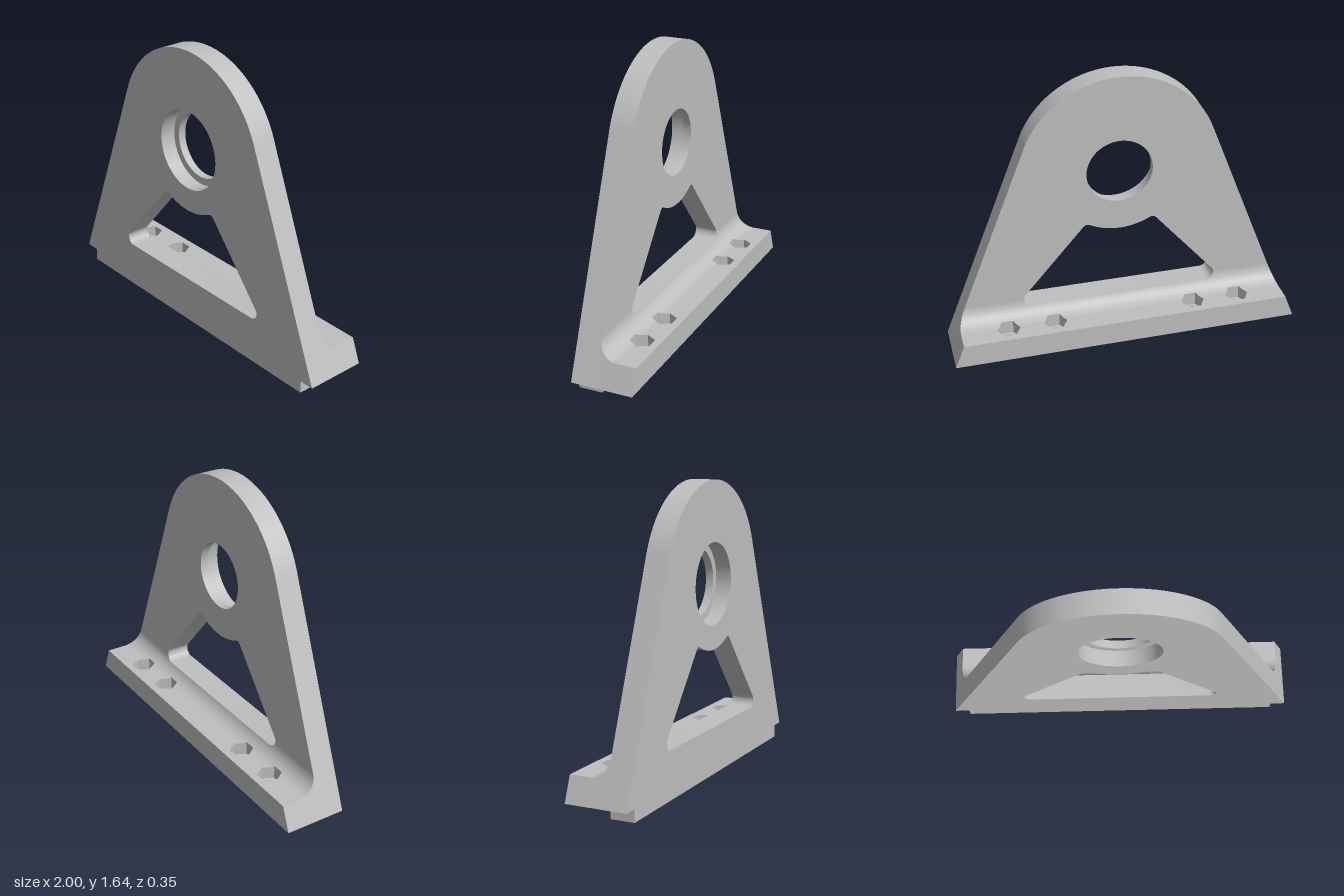
import * as THREE from 'three';
import { mergeGeometries, toCreasedNormals } from 'three/addons/utils/BufferGeometryUtils.js';

const rad = THREE.MathUtils.degToRad;
const BACK = -0.175, MID = 0.04, FRONT = 0.175;   // z of the flange back, plate back, plate front
const LOW = 0.072, TOP = 0.21;                    // flange underside and top
const BORE_Y = 1.075;
const FILLET = { y: 0.31, z: -0.06, r: 0.1 };
const CORNER = { x: 0.525, y: 0.312, r: 0.042 };  // lower rounded corner of the window
const WINDOW_Y = CORNER.y - CORNER.r;
const BOLT_X = [-0.677, -0.408, 0.408, 0.677], BOLT_Z = -0.075;
const HEX_R = 0.067, HEX_A = HEX_R * Math.sqrt(3) / 2, HEX_FLOOR = 0.14, BOLT_R = 0.04;

const outerX = y => 1 - 0.39 * (y - LOW);         // sloping side of the bracket
const innerX = y => CORNER.x + Math.sqrt(Math.max(0, CORNER.r ** 2 - (y - CORNER.y) ** 2));
const hexHalf = z => HEX_R - Math.abs(z - BOLT_Z) / Math.sqrt(3);
const topY = z => z <= FILLET.z ? TOP
  : FILLET.y - Math.sqrt(Math.max(0, FILLET.r ** 2 - (z - FILLET.z) ** 2));

function circlePath(x, y, r) {
  const p = new THREE.Path();
  p.absarc(x, y, r, 0, Math.PI * 2, true);
  return p;
}

// Triangular window with rounded corners and a concave top around the bore
function windowPath() {
  const p = new THREE.Path();
  const arc = (x, y, r, a, b, cw = false) => p.absarc(x, y, r, rad(a), rad(b), cw);
  arc(CORNER.x, CORNER.y, CORNER.r, -90, 40.4);
  arc(0.1873, 0.7271, 0.03, 40.4, 118.3);
  arc(0, BORE_Y, 0.365, -61.7, -118.3, true);
  arc(-0.1873, 0.7271, 0.03, 61.7, 139.6);
  arc(-CORNER.x, CORNER.y, CORNER.r, 139.6, 270);
  p.closePath();
  return p;
}

// One layer of the upright plate, with a bore of the given radius
function plateLayer(bore, z0, z1) {
  const s = new THREE.Shape();
  s.moveTo(-0.917, 0);
  s.lineTo(0.917, 0);
  s.lineTo(0.917, LOW);
  s.lineTo(1, LOW);
  s.absarc(0, BORE_Y, 0.565, rad(21.3), rad(158.7), false);
  s.lineTo(-1, LOW);
  s.lineTo(-0.917, LOW);
  s.closePath();
  s.holes.push(circlePath(0, BORE_Y, bore), windowPath());
  const g = new THREE.ExtrudeGeometry(s, { depth: z1 - z0, bevelEnabled: false, curveSegments: 40 });
  g.translate(0, 0, z0);
  return toCreasedNormals(g, 0.5);
}

// Flange skin: strips along z, split around the hex pockets and the window
function flangeSkin() {
  const v = [];
  const quad = (a, b, c, d) => v.push(...a, ...b, ...c, ...a, ...c, ...d);
  const zs = [BACK, BOLT_Z - HEX_A, BOLT_Z, BOLT_Z + HEX_A,
    FILLET.z + Math.sqrt(FILLET.r ** 2 - (FILLET.y - WINDOW_Y) ** 2)];
  for (let i = 0; i <= 14; i++) zs.push(FILLET.z + FILLET.r * Math.sin(i / 14 * Math.PI / 2));
  zs.sort((a, b) => a - b);

  for (let i = 0; i < zs.length - 1; i++) {
    const z0 = zs[i], z1 = zs[i + 1], y0 = topY(z0), y1 = topY(z1), zm = (z0 + z1) / 2;
    if (z1 - z0 < 1e-6) continue;
    const inHex = Math.abs(zm - BOLT_Z) < HEX_A;
    const inWindow = topY(zm) > WINDOW_Y;
    const edges = (z, y) => {
      const e = [-outerX(y)];
      if (inHex) for (const x of BOLT_X) e.push(x - hexHalf(z), x + hexHalf(z));
      if (inWindow) e.push(-innerX(y), innerX(y));
      e.push(outerX(y));
      return e;
    };
    const e0 = edges(z0, y0), e1 = edges(z1, y1);
    for (let k = 0; k < e0.length; k += 2) {
      quad([e0[k], y0, z0], [e1[k], y1, z1], [e1[k + 1], y1, z1], [e0[k + 1], y0, z0]);
    }
    // sloping ends
    for (const s of [1, -1]) {
      const a = [s * outerX(LOW), LOW, z0], b = [s * outerX(y0), y0, z0];
      const c = [s * outerX(y1), y1, z1], d = [s * outerX(LOW), LOW, z1];
      if (s > 0) quad(a, b, c, d); else quad(a, d, c, b);
      // rounded window corners cut through the fillet
      if (inWindow) {
        const p = [s * innerX(y0), y0, z0], q = [s * innerX(y1), y1, z1];
        const r = [s * innerX(y1), y1, MID], t = [s * innerX(y0), y0, MID];
        if (s > 0) quad(p, t, r, q); else quad(p, q, r, t);
      }
    }
    // hex pocket walls
    if (inHex) for (const x of BOLT_X) for (const s of [1, -1]) {
      const xa = x + s * hexHalf(z0), xb = x + s * hexHalf(z1);
      const a = [xa, HEX_FLOOR, z0], b = [xb, HEX_FLOOR, z1], c = [xb, y1, z1], d = [xa, y0, z0];
      if (s > 0) quad(a, b, c, d); else quad(a, d, c, b);
    }
  }
  // back face, and the window sill where it meets the fillet
  const lo = outerX(LOW), hi = outerX(TOP), w = CORNER.x;
  const zw = FILLET.z + Math.sqrt(FILLET.r ** 2 - (FILLET.y - WINDOW_Y) ** 2);
  quad([lo, LOW, BACK], [-lo, LOW, BACK], [-hi, TOP, BACK], [hi, TOP, BACK]);
  quad([-w, WINDOW_Y, zw], [-w, WINDOW_Y, MID], [w, WINDOW_Y, MID], [w, WINDOW_Y, zw]);

  const g = new THREE.BufferGeometry();
  g.setAttribute('position', new THREE.Float32BufferAttribute(v, 3));
  return toCreasedNormals(g, 0.5);
}

// Flange underside with the four round bolt holes
function flangeUnderside() {
  const s = new THREE.Shape();
  s.moveTo(-1, BACK);
  s.lineTo(1, BACK);
  s.lineTo(1, MID);
  s.lineTo(-1, MID);
  s.closePath();
  for (const x of BOLT_X) s.holes.push(circlePath(x, BOLT_Z, BOLT_R));
  return new THREE.ShapeGeometry(s, 16).rotateX(Math.PI / 2).translate(0, LOW, 0);
}

// Hex pocket floors and the round bores below them
function boltHoles() {
  const parts = [];
  for (const x of BOLT_X) {
    const hex = new THREE.Shape();
    for (let i = 0; i < 6; i++) {
      const a = i * Math.PI / 3;
      hex[i ? 'lineTo' : 'moveTo'](HEX_R * Math.cos(a), HEX_R * Math.sin(a));
    }
    hex.closePath();
    hex.holes.push(circlePath(0, 0, BOLT_R));
    parts.push(new THREE.ShapeGeometry(hex, 16).rotateX(-Math.PI / 2).translate(x, HEX_FLOOR, BOLT_Z));
    parts.push(new THREE.CylinderGeometry(BOLT_R, BOLT_R, HEX_FLOOR - LOW, 32, 1, true)
      .translate(x, (HEX_FLOOR + LOW) / 2, BOLT_Z));
  }
  return mergeGeometries(parts);
}

export function createModel() {
  const group = new THREE.Group();
  const grey = new THREE.MeshStandardMaterial({ color: 0xbfbfbf, side: THREE.DoubleSide });
  grey.name = 'plain grey';
  const add = (name, geometry) => {
    const m = new THREE.Mesh(geometry, grey);
    m.name = name;
    group.add(m);
  };
  const lip = MID + 0.045;
  add('uprightPlate', plateLayer(0.228, lip, FRONT));
  add('boreLipPlate', plateLayer(0.187, MID, lip));
  add('mountingFlange', flangeSkin());
  add('flangeUnderside', flangeUnderside());
  add('boltHoles', boltHoles());
  return group;
}
